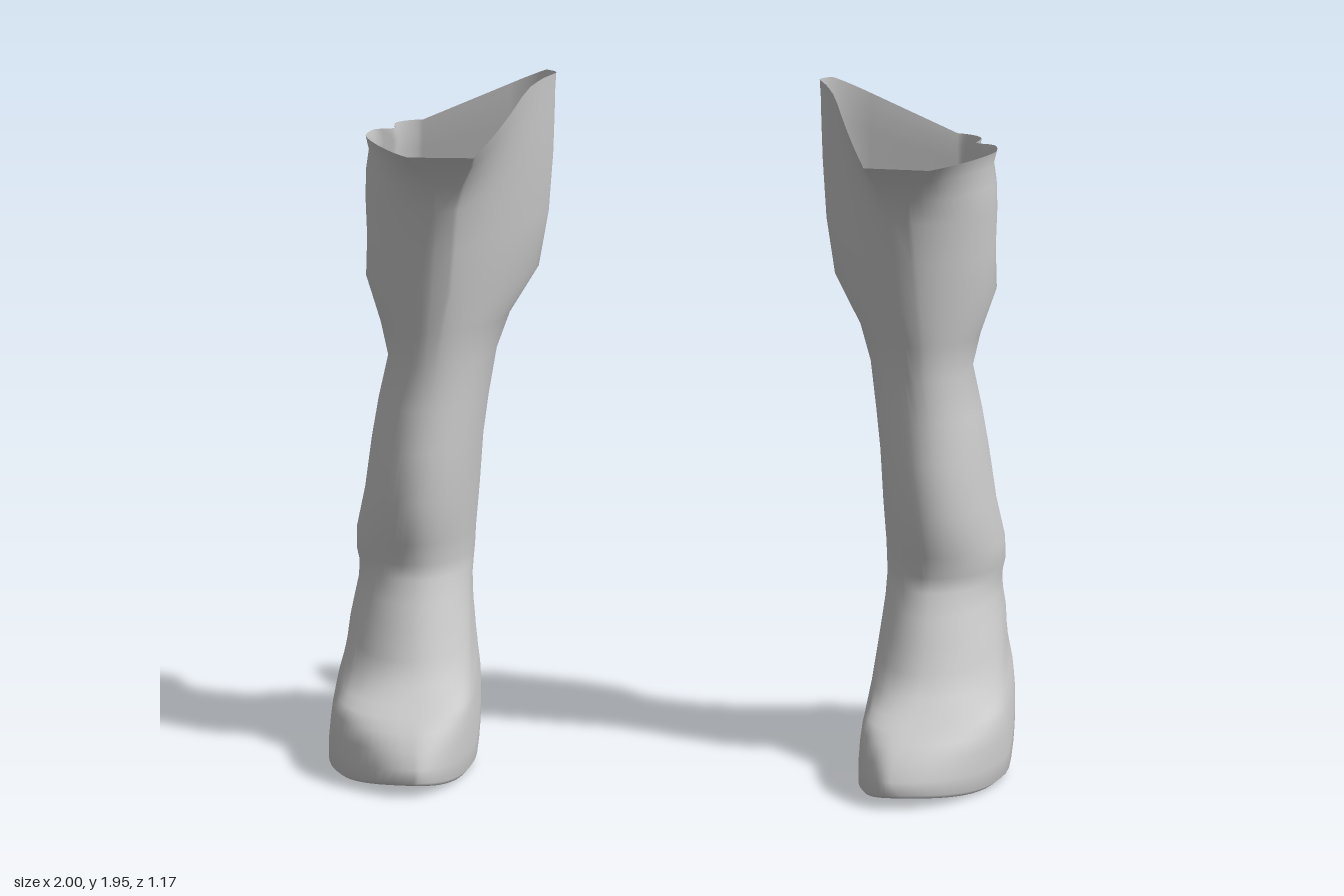
import * as THREE from 'three';
import { mergeVertices } from 'three/addons/utils/BufferGeometryUtils.js';

const COLS = 64;
const clamp = (v) => Math.min(1, Math.max(0, v));
const bump = (v, centre, width) => Math.exp(-(((v - centre) / width) ** 2));

// Cross-sections of one boot, sole to rim:
// height at front, height at back, inner x z, outer x z, front x z, back x z
const FOOT = [
  [0.008, 0.26, 0.575, 0.1, 0.985, 0.05, 0.7, 0.57, 0.78, -0.578],
  [0.02, 0.285, 0.565, 0.1, 1.0, 0.05, 0.7, 0.587, 0.78, -0.588],
  [0.07, 0.31, 0.565, 0.1, 1.0, 0.05, 0.7, 0.575, 0.78, -0.583],
  [0.13, 0.33, 0.57, 0.1, 0.995, 0.03, 0.705, 0.545, 0.78, -0.575],
  [0.175, 0.36, 0.575, 0.08, 0.987, 0.02, 0.715, 0.49, 0.78, -0.568],
  [0.2, 0.39, 0.58, 0.06, 0.978, 0.0, 0.73, 0.41, 0.78, -0.56],
  [0.215, 0.42, 0.585, 0.03, 0.972, -0.04, 0.74, 0.31, 0.78, -0.555],
  [0.25, 0.445, 0.59, 0.0, 0.965, -0.08, 0.745, 0.205, 0.78, -0.55],
  [0.31, 0.47, 0.598, -0.04, 0.96, -0.12, 0.75, 0.155, 0.78, -0.545],
  [0.38, 0.495, 0.605, -0.1, 0.95, -0.15, 0.755, 0.115, 0.78, -0.54],
  [0.45, 0.515, 0.61, -0.15, 0.942, -0.2, 0.755, 0.065, 0.78, -0.53],
  [0.52, 0.54, 0.61, -0.2, 0.942, -0.22, 0.755, 0.025, 0.775, -0.515],
];
const SHAFT = [
  [0.565, 0.565, 0.608, -0.22, 0.95, -0.22, 0.76, 0.016, 0.77, -0.485],
  [0.63, 0.63, 0.605, -0.23, 0.95, -0.22, 0.76, 0.03, 0.77, -0.46],
  [0.75, 0.75, 0.595, -0.24, 0.925, -0.21, 0.76, 0.045, 0.76, -0.42],
  [0.9, 0.9, 0.585, -0.25, 0.905, -0.2, 0.75, 0.02, 0.73, -0.395],
  [1.02, 1.02, 0.57, -0.27, 0.885, -0.2, 0.74, -0.01, 0.71, -0.385],
  [1.15, 1.15, 0.55, -0.3, 0.857, -0.2, 0.72, -0.03, 0.7, -0.395],
  [1.25, 1.25, 0.515, -0.33, 0.88, -0.2, 0.71, -0.022, 0.68, -0.415],
  [1.38, 1.38, 0.435, -0.38, 0.925, -0.22, 0.69, -0.012, 0.66, -0.455],
  [1.5, 1.5, 0.408, -0.4, 0.922, -0.22, 0.68, -0.003, 0.65, -0.475],
  [1.62, 1.62, 0.396, -0.41, 0.927, -0.22, 0.67, 0.014, 0.65, -0.475],
  [1.7, 1.7, 0.392, -0.41, 0.925, -0.22, 0.66, 0.04, 0.65, -0.472],
  [1.77, 1.75, 0.39, -0.41, 0.917, -0.22, 0.66, 0.085, 0.65, -0.472],
  [1.82, 1.785, 0.387, -0.41, 0.927, -0.22, 0.67, 0.13, 0.65, -0.475],
];

// One point of a section: four blended quarter ellipses, plus folds and tilts
function sectionPoint(row, j, flatten) {
  const [yf, yb, xi, zi, xo, zo, xf, zf, xb, zb] = row;
  const a = (j / COLS) * 4;
  const q = Math.floor(a);
  const t = ((a - q) * Math.PI) / 2;

  // flat lip at the front of the rim, flat back panel, blunt toe cap
  const calf = clamp((yf - 1.1) / 0.3);
  const rim = clamp((yf - 1.66) / 0.16);
  const front = 0.02 * calf + 0.075 * rim, back = 0.12 * calf;
  const toe = -0.15 * bump(yf, 0.19, 0.07);
  const ankle = -0.15 * bump(yf, 1.0, 0.4);
  const power = 1 + [toe + 0.2 * calf + 0.4 * rim, ankle, ankle, toe + 0.6 * calf + 0.4 * rim][q];
  const s = Math.pow(Math.max(0, Math.sin(t)), power);
  const c = Math.pow(Math.max(0, Math.cos(t)), power);
  const mix = (from, to, k) => from + (to - from) * k;
  let x, z;
  if (q === 0) { x = mix(xf + front, xo, s); z = mix(zo, zf, c); }
  else if (q === 1) { x = mix(xb + back, xo, c); z = mix(zo, zb, s); }
  else if (q === 2) { x = mix(xb - back, xi, s); z = mix(zi, zb, c); }
  else { x = mix(xf - front, xi, c); z = mix(zi, zf, s); }

  // pleats: outer back of the upper shaft, inner back of the ankle
  const outerFold = 0.17 * clamp((yf - 1.0) / 0.2) * bump(a, 1.42, 0.11);
  const innerFold = 0.06 * bump(yf, 1.05, 0.25) * bump(a, 2.75, 0.12);
  const fold = outerFold + innerFold;
  x = mix(x, (xi + xo) / 2, fold);
  z = mix(z, (zf + zb) / 2, fold);

  // arch of the foot, lifted toe and slanting rim
  const arch = Math.pow(Math.sin((clamp((0.12 - z) / 0.7) * Math.PI) / 2), 1.2);
  let y = mix(yf, yb, arch);
  y += 0.035 * clamp((z - 0.25) / 0.33) ** 2 * clamp(1 - yf / 0.13);
  y += 0.165 * clamp((yf - 1.4) / 0.4) * clamp((0.78 - x) / 0.36) * clamp((0.13 - z) / 0.35);

  // collapse onto the centre line to close the sole
  if (flatten) x = mix(xb, xf, (z - zb) / (zf - zb));
  return [x, y, z];
}

function loft(rows, closeBottom = false) {
  const pos = [], index = [];
  rows.forEach((row, i) => {
    for (let j = 0; j < COLS; j++) pos.push(...sectionPoint(row, j, closeBottom && i === 0));
  });
  for (let i = 0; i < rows.length - 1; i++) {
    for (let j = 0; j < COLS; j++) {
      const k = (j + 1) % COLS;
      const a = i * COLS + j, b = i * COLS + k;
      index.push(a, b, a + COLS, b, b + COLS, a + COLS);
    }
  }
  const g = new THREE.BufferGeometry();
  g.setAttribute('position', new THREE.Float32BufferAttribute(pos, 3));
  g.setIndex(index);
  g.computeVertexNormals();
  return g;
}

// Block heel: flat at the front, rounded at the back
function heelGeometry() {
  const s = new THREE.Shape();
  s.moveTo(0.67, 0.315);
  s.lineTo(0.91, 0.315);
  s.bezierCurveTo(0.925, 0.46, 0.88, 0.562, 0.785, 0.564);
  s.bezierCurveTo(0.695, 0.562, 0.655, 0.46, 0.67, 0.315);
  const g = new THREE.ExtrudeGeometry(s, {
    depth: 0.215, curveSegments: 12, bevelSize: 0.008, bevelThickness: 0.008, bevelSegments: 2,
  });
  g.rotateX(-Math.PI / 2);
  g.translate(0, 0.038, 0);
  return mergeVertices(g);
}

function mirror(geometry) {
  const g = geometry.clone();
  g.scale(-1, 1, 1);
  const ix = g.index.array;
  for (let i = 0; i < ix.length; i += 3) [ix[i], ix[i + 1]] = [ix[i + 1], ix[i]];
  return g;
}

export function createModel() {
  const leather = new THREE.MeshStandardMaterial({ color: 0xc8c8c8, side: THREE.DoubleSide });
  leather.name = 'light grey leather';

  const parts = {
    bootUpper: loft([...FOOT, ...SHAFT]),
    sole: loft([FOOT[0], FOOT[0]], true),
    heel: heelGeometry(),
  };

  const model = new THREE.Group();
  model.name = 'pairOfBoots';
  for (const side of ['left', 'right']) {
    const boot = new THREE.Group();
    boot.name = side + 'Boot';
    for (const [name, geometry] of Object.entries(parts)) {
      const mesh = new THREE.Mesh(side === 'left' ? geometry : mirror(geometry), leather);
      mesh.name = name;
      boot.add(mesh);
    }
    model.add(boot);
  }
  return model;
}
